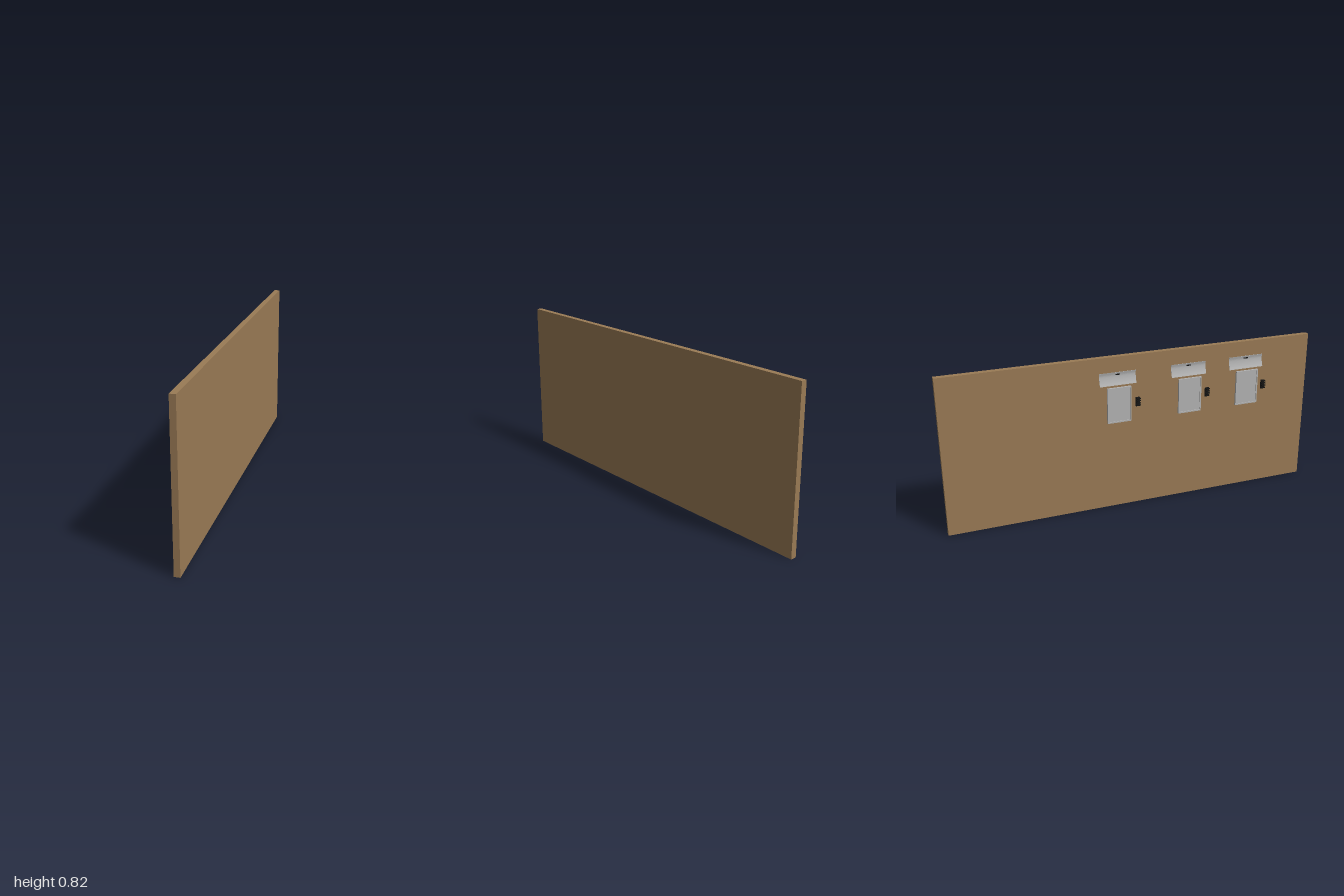
import * as THREE from 'three';

export function createModel() {
  const model = new THREE.Group();
  const paint = (name, color, side = THREE.FrontSide) => {
    const m = new THREE.MeshStandardMaterial({ color, side });
    m.name = name;
    return m;
  };
  const wood = paint('wood', 0x9a7b55);
  const grey = paint('grey', 0xb4b4b4);
  const black = paint('black', 0x141414);

  // box given by its limits on each axis
  const box = (parent, name, mat, [x0, x1], [y0, y1], [z0, z1]) => {
    const mesh = new THREE.Mesh(new THREE.BoxGeometry(x1 - x0, y1 - y0, z1 - z0), mat);
    mesh.position.set((x0 + x1) / 2, (y0 + y1) / 2, (z0 + z1) / 2);
    mesh.name = name;
    parent.add(mesh);
  };

  // wall slab
  box(model, 'wall', wood, [0, 0.03], [0, 0.825], [-1, 1]);

  // curved hood: a thin bent sheet, flaring out from the wall at its lower edge
  const hoodGeometry = () => {
    const line = new THREE.CatmullRomCurve3([
      [-0.014, 0.68], [-0.008, 0.695], [-0.0035, 0.712], [-0.0015, 0.73], [-0.004, 0.746],
    ].map(([x, y]) => new THREE.Vector3(x, y, 0))).getPoints(16);
    const t = 0.0015;
    const outline = [...line.map(p => [p.x - t / 2, p.y]),
      ...line.reverse().map(p => [p.x + t / 2, p.y])];
    const shape = new THREE.Shape(outline.map(([x, y]) => new THREE.Vector2(x, y)));
    return new THREE.ExtrudeGeometry(shape, { depth: 0.195, bevelEnabled: false }).translate(0, 0, -0.0975);
  };

  // three identical stations along the wall
  for (const z of [-0.1, 0.29, 0.622]) {
    const station = new THREE.Group();
    station.name = 'station';
    station.position.z = z;
    model.add(station);

    const hood = new THREE.Mesh(hoodGeometry(), grey);
    hood.name = 'hood';
    station.add(hood);
    box(station, 'hoodClip', black, [-0.005, -0.001], [0.731, 0.737], [-0.012, 0.012]);

    // framed panel
    box(station, 'panel', grey, [-0.027, -0.02], [0.485, 0.672], [-0.064, 0.064]);
    for (const s of [-1, 1]) {
      box(station, 'frameSide', grey, [-0.031, -0.027], [0.485, 0.672], s < 0 ? [-0.064, -0.057] : [0.057, 0.064]);
      box(station, 'frameRail', grey, [-0.031, -0.027], s < 0 ? [0.485, 0.492] : [0.665, 0.672], [-0.057, 0.057]);
    }

    // small ribbed holder beside the panel
    box(station, 'holderBack', black, [-0.011, -0.006], [0.551, 0.6], [0.096, 0.117]);
    box(station, 'holderPost', black, [-0.022, -0.011], [0.556, 0.6], [0.102, 0.111]);
    for (let i = 0; i < 4; i++) {
      const y = 0.558 + i * 0.012;
      box(station, 'holderRib', black, [-0.025, -0.011], [y, y + 0.005], [0.096, 0.117]);
    }
  }
  return model;
}
